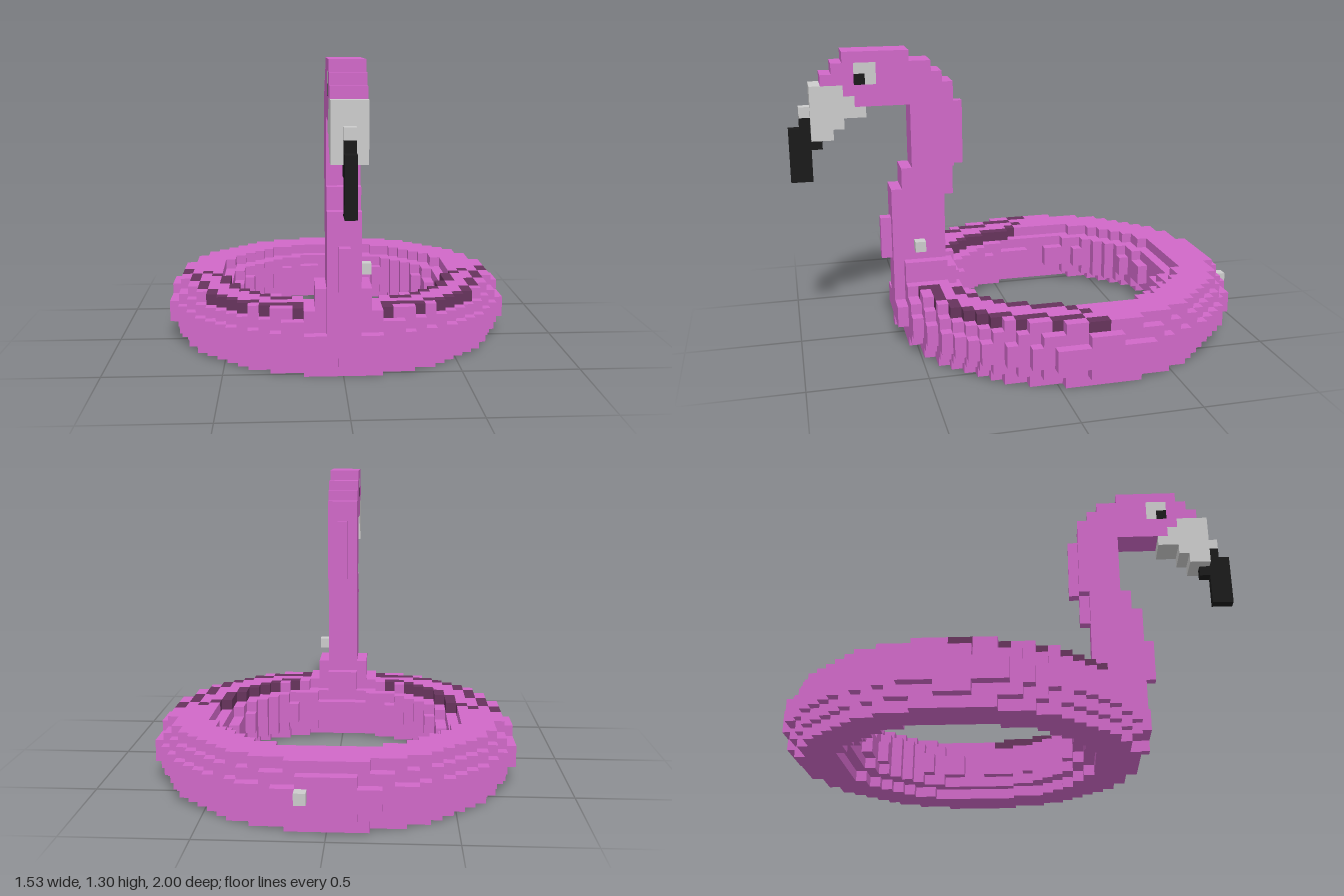
import * as THREE from 'three';

const V = 2 / 43; // cube size
const PINK = 0xd068c8, PLUM = 0x66335c, BLACK = 0x1a1a1a, GREY = 0xcccccc;
const COLORS = {
  swimRing: PINK, wingFeathers: PLUM, neck: PINK, head: PINK,
  beak: GREY, beakTip: BLACK, eyeWhites: GREY, pupils: BLACK, airValves: GREY,
};

// Six cube faces: outward normal n and two in-plane axes with u x v = n
const FACES = [];
for (let a = 0; a < 3; a++) for (const s of [1, -1]) {
  const axis = (k, l = 1) => [0, 1, 2].map((m) => (m === k % 3 ? l : 0));
  FACES.push({ n: axis(a, s), u: axis(a + 1, s), v: axis(a + 2) });
}

export function createModel() {
  const cells = new Map();
  const key = (i, j, k) => `${i},${j},${k}`;
  const put = (part, i, j, k) => cells.set(key(i, j, k), { part, p: [i, j, k] });
  // Filled block of cubes, mirrored about x = 0; ranges are inclusive
  const block = (part, half, j0, j1, k0, k1) => {
    for (let i = -half; i <= half; i++)
      for (let j = j0; j <= j1; j++)
        for (let k = k0; k <= k1; k++) put(part, i, j, k);
  };
  const pair = (part, i, j, k) => { put(part, i, j, k); put(part, -i, j, k); };

  // Inflatable ring: squared outer and inner radii per layer
  const outer = [236, 258.5, 273], inner = [137, 110, 100.95];
  for (let j = 0; j < 6; j++) {
    const l = Math.min(j, 5 - j);
    for (let i = -16; i <= 16; i++) for (let k = 0; k <= 34; k++) {
      const d = i * i + (k - 16.95) ** 2;
      if (d <= outer[l] && d > inner[l]) put('swimRing', i, j, k);
    }
  }

  // Two rows of dark wing feathers on each side: [i, first k, last k]
  const feathers = [
    [15, 17, 18], [14, 19, 21], [13, 22, 24], [12, 25, 26], [11, 27, 27], [10, 28, 28],
    [9, 29, 29], [8, 29, 29], [7, 30, 30], [6, 30, 30], [5, 30, 30], [4, 30, 31],
    [13, 18, 18], [12, 19, 19], [11, 20, 22], [10, 23, 24], [9, 25, 25], [8, 26, 26],
    [7, 27, 27], [6, 28, 28], [5, 28, 28],
  ];
  for (const [i, k0, k1] of feathers)
    for (let k = k0; k <= k1; k++) pair('wingFeathers', i, 5, k);

  // Neck: [half width, j0, j1, k0, k1]
  const neck = [
    [1, 4, 6, 28, 33], [2, 6, 7, 29, 32], [1, 7, 13, 29, 33], [0, 8, 11, 29, 34],
    [1, 14, 14, 29, 33], [0, 14, 14, 28, 33], [1, 15, 16, 29, 32], [0, 15, 16, 28, 32],
    [1, 17, 22, 28, 31], [0, 17, 22, 27, 31],
  ];
  for (const b of neck) block('neck', ...b);

  // Head
  const head = [[23, 28, 36], [24, 28, 37], [25, 29, 39], [26, 30, 38], [27, 32, 37]];
  for (const [j, k0, k1] of head) block('head', 1, j, j, k0, k1);

  // Beak and its hooked tip
  const beak = [[24, 38, 40], [23, 37, 40], [22, 36, 40], [21, 38, 40], [20, 39, 40]];
  for (const [j, k0, k1] of beak) block('beak', 1, j, j, k0, k1);
  put('beak', 0, 22, 41);
  block('beakTip', 0, 16, 20, 41, 42);
  put('beakTip', 0, 21, 41);
  put('beakTip', 0, 19, 40);

  // Eyes
  for (const j of [25, 26]) for (const k of [35, 36]) pair('eyeWhites', 1, j, k);
  pair('pupils', 1, 25, 36);

  // Valves on the neck and at the back of the ring
  put('airValves', 2, 9, 31);
  put('airValves', 2, 3, 0);

  // Skin: keep only cube faces with no neighbour
  const skins = {};
  for (const { part, p } of cells.values()) {
    const out = (skins[part] ??= { pos: [], nor: [] });
    for (const { n, u, v } of FACES) {
      if (cells.has(key(p[0] + n[0], p[1] + n[1], p[2] + n[2]))) continue;
      const c = [p[0], p[1] + 0.5, p[2] - 21];
      for (const [s, t] of [[-1, -1], [1, -1], [1, 1], [-1, -1], [1, 1], [-1, 1]]) {
        for (let a = 0; a < 3; a++) out.pos.push((c[a] + (n[a] + s * u[a] + t * v[a]) / 2) * V);
        out.nor.push(...n);
      }
    }
  }

  const group = new THREE.Group();
  group.name = 'birdSwimRing';
  for (const [part, { pos, nor }] of Object.entries(skins)) {
    const geometry = new THREE.BufferGeometry();
    geometry.setAttribute('position', new THREE.Float32BufferAttribute(pos, 3));
    geometry.setAttribute('normal', new THREE.Float32BufferAttribute(nor, 3));
    const mesh = new THREE.Mesh(geometry, new THREE.MeshStandardMaterial({ color: COLORS[part] }));
    mesh.name = part;
    group.add(mesh);
  }
  return group;
}
